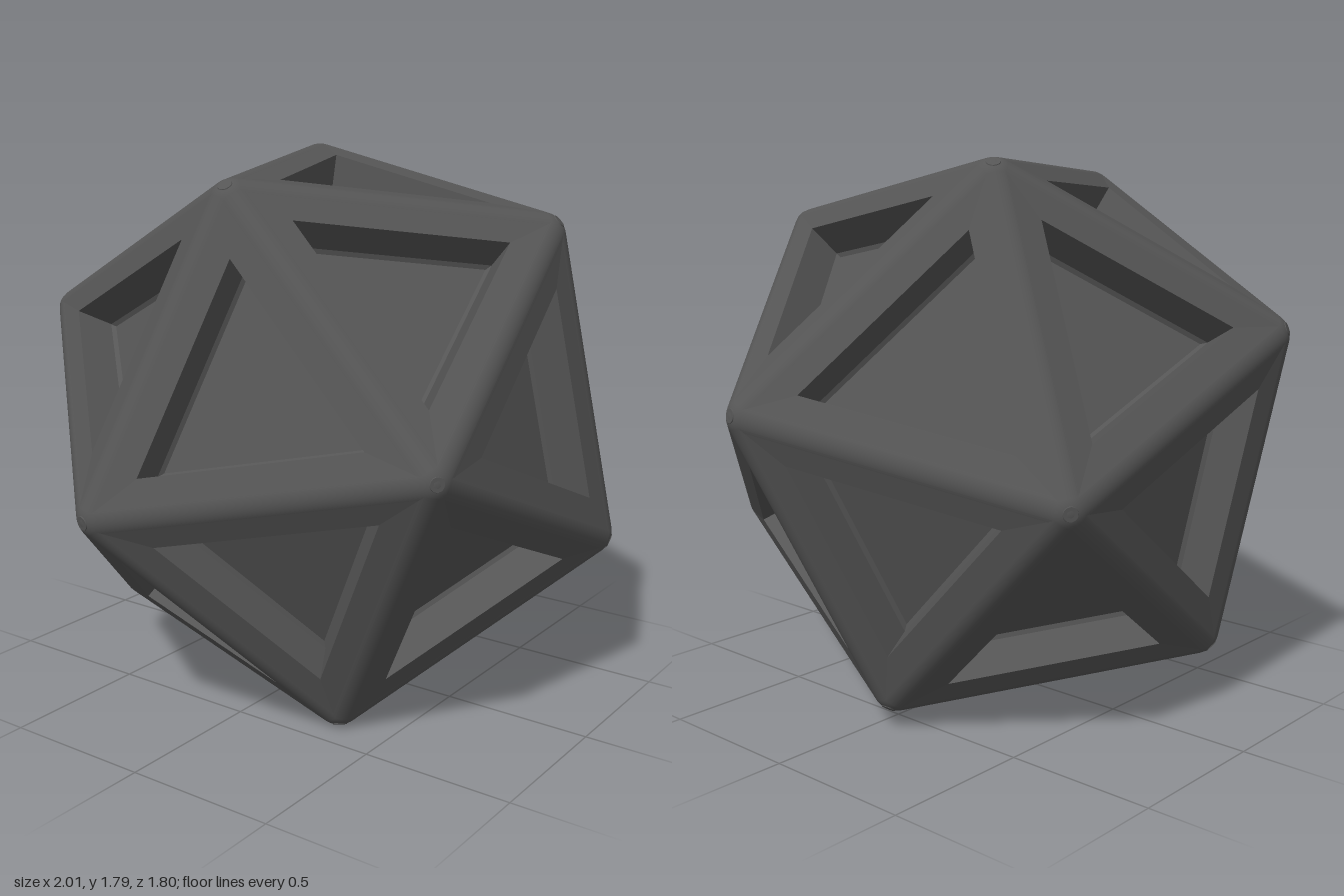
import * as THREE from 'three';

const CORE = 0.947;  // radius of the icosahedron the rounded edges run along
const ROUND = 0.08;  // rounding radius of edges and corners

// Twelve corners from three mutually perpendicular golden rectangles, tilted
function cornerPoints() {
  const x = new THREE.Vector3(0.803, 0.59, -0.087).normalize();
  const z = x.clone().cross(new THREE.Vector3(0.549, -0.688, 0.474)).normalize();
  const y = z.clone().cross(x);
  const phi = (1 + Math.sqrt(5)) / 2;
  const points = [];
  for (const [long, short] of [[x, y], [y, z], [z, x]])
    for (const s of [-1, 1]) for (const t of [-1, 1])
      points.push(long.clone().multiplyScalar(s * phi).addScaledVector(short, t).setLength(CORE));
  return points;
}

// One face: flat rim, steep recess wall, small bevel and floor
function facePanel(corners) {
  const [a, b, c] = corners;
  const normal = b.clone().sub(a).cross(c.clone().sub(a)).normalize();
  const centre = a.clone().add(b).add(c).divideScalar(3);
  if (normal.dot(centre) < 0) return facePanel([a, c, b]);
  // [scale of the triangle, height above the core face]
  const rings = [[1, ROUND], [0.695, ROUND - 0.006], [0.67, -0.045], [0.635, -0.057], [0, -0.057]]
    .map(([scale, height]) => [a, b, c].map(p =>
      p.clone().sub(centre).multiplyScalar(scale).add(centre).addScaledVector(normal, height)));
  const pos = [];
  const tri = (...pts) => pts.forEach(p => pos.push(p.x, p.y, p.z));
  for (let r = 0; r < rings.length - 1; r++) {
    for (let i = 0; i < 3; i++) {
      const j = (i + 1) % 3, outer = rings[r], inner = rings[r + 1];
      tri(outer[i], outer[j], inner[j]);
      if (r < rings.length - 2) tri(outer[i], inner[j], inner[i]);
    }
  }
  const geometry = new THREE.BufferGeometry();
  geometry.setAttribute('position', new THREE.Float32BufferAttribute(pos, 3));
  geometry.computeVertexNormals();
  return geometry;
}

export function createModel() {
  const model = new THREE.Group();
  model.name = 'icosahedronFrame';
  const material = new THREE.MeshStandardMaterial({ color: 0x555555 });
  const up = new THREE.Vector3(0, 1, 0);
  const points = cornerPoints();
  const edgeLength = CORE * 1.05146;
  const joined = (p, q) => Math.abs(p.distanceTo(q) - edgeLength) < 0.02;
  const body = new THREE.Group();
  body.name = 'body';
  const add = (name, geometry) => {
    const mesh = new THREE.Mesh(geometry, material);
    mesh.name = name;
    body.add(mesh);
    return mesh;
  };

  const ball = new THREE.SphereGeometry(ROUND, 40, 24);
  const rod = new THREE.CylinderGeometry(ROUND, ROUND, edgeLength, 48, 1, true);
  const cap = new THREE.CylinderGeometry(0.022, 0.026, 0.01, 16);

  points.forEach((p, i) => {
    // Rounded corner with a small flat tip
    add('corner', ball).position.copy(p);
    const tip = add('cornerTip', cap);
    tip.position.copy(p).setLength(CORE + ROUND - 0.006);
    tip.quaternion.setFromUnitVectors(up, p.clone().normalize());

    for (let j = i + 1; j < points.length; j++) {
      const q = points[j];
      if (!joined(p, q)) continue;
      // Rounded ridge
      const ridge = add('ridge', rod);
      ridge.position.copy(p).add(q).multiplyScalar(0.5);
      ridge.quaternion.setFromUnitVectors(up, q.clone().sub(p).normalize());
      // Recessed faces on this edge
      for (let k = j + 1; k < points.length; k++)
        if (joined(p, points[k]) && joined(q, points[k]))
          add('recessedFace', facePanel([p, q, points[k]]));
    }
  });

  // Stand on the ground
  body.position.y = Math.max(...points.map(p => p.y)) + ROUND;
  model.add(body);
  return model;
}
